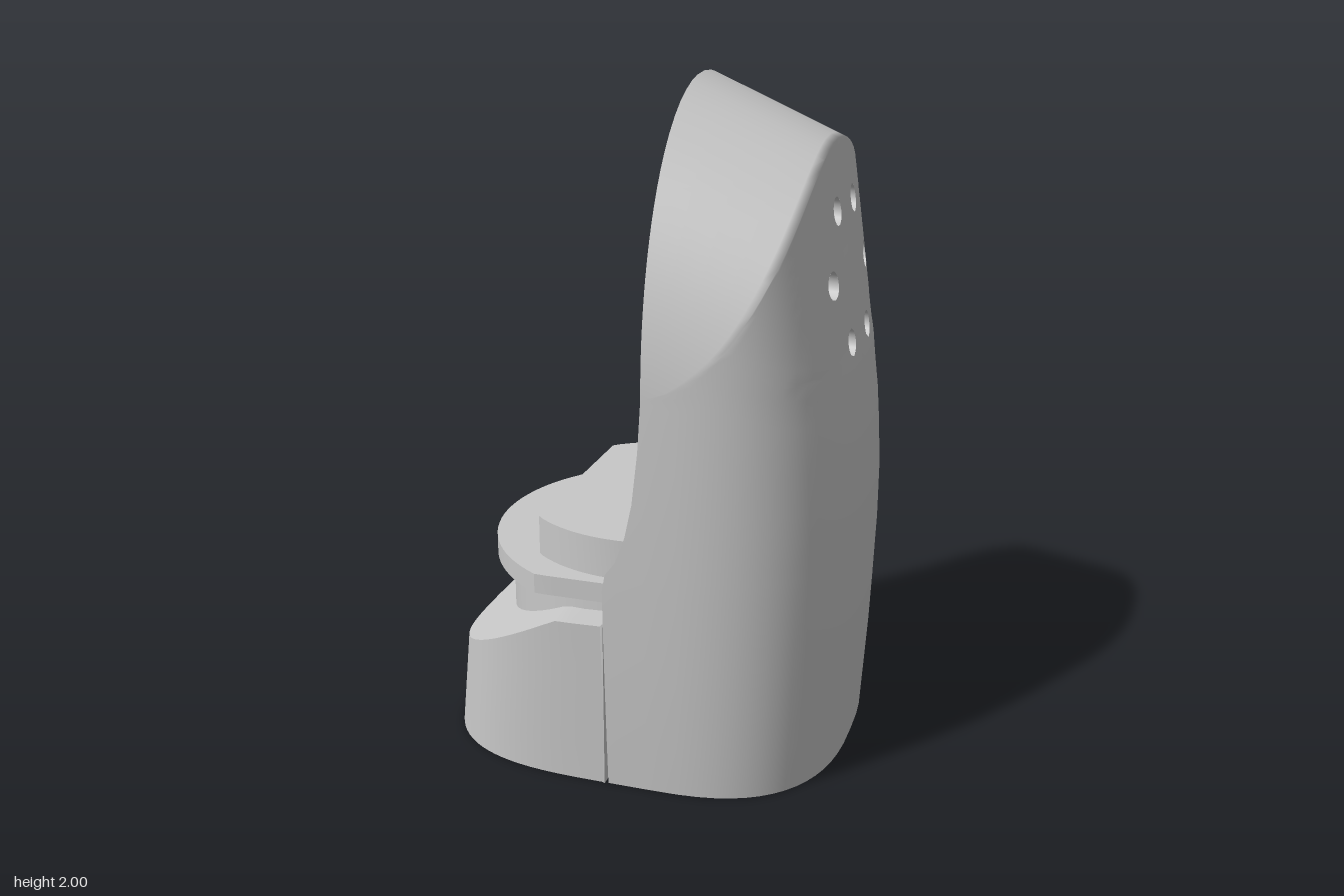
import * as THREE from 'three';
import { mergeGeometries, mergeVertices, toCreasedNormals } from 'three/addons/utils/BufferGeometryUtils.js';

const V = (x, y, z) => new THREE.Vector3(x, y, z);
const P2 = (x, y) => new THREE.Vector2(x, y);
const CZ = -0.015; // centre line of the turntable

// piecewise linear lookup
function lerpTable(table, v) {
  if (v <= table[0][0]) return table[0][1];
  for (let i = 1; i < table.length; i++) {
    const [a, p] = table[i - 1], [b, q] = table[i];
    if (v <= b) return p + (q - p) * (v - a) / (b - a);
  }
  return table[table.length - 1][1];
}

// surface through rows of points
function loft(rows) {
  const n = rows[0].length, index = [];
  for (let i = 0; i < rows.length - 1; i++) for (let j = 0; j < n - 1; j++) {
    const a = i * n + j, b = a + 1, c = a + n, d = c + 1;
    index.push(a, c, b, b, c, d);
  }
  const g = new THREE.BufferGeometry().setFromPoints(rows.flat());
  g.setIndex(index);
  return g;
}
const circle = (r, n = 20) => Array.from({ length: n + 1 }, (_, i) =>
  P2(r * Math.cos(i / n * Math.PI * 2), r * Math.sin(i / n * Math.PI * 2)));

// column rules: half width, depth, roof slope and front edge by level
const M = 2.75, W = 0.573;
const body = Y => Y > 1.2 ? W : W - 0.043 * ((1.2 - Y) / 1.2) ** 2;
const width = Y => Y > 1.2 ? W * Math.pow(Math.max(0, 1 - ((Y - 1.2) / 0.8) ** 2), 0.48) : body(Y);
const depth = Y => lerpTable([[0, 0.59], [0.3, 0.608], [0.6, 0.62], [0.8, 0.62], [1, 0.613], [1.2, 0.603], [1.4, 0.585], [2, 0.49]], Y);
const slope = Y => 0.436 * THREE.MathUtils.smoothstep(Y, 0.7, 1.5);
const frontX = Y => lerpTable([[0, -0.02], [0.63, -0.02], [0.68, -0.01], [0.72, 0.02], [0.8, 0.05], [0.9, 0.072], [1.05, 0.09], [1.2, 0.1]], Y);
const LEVELS = [0, 0.15, 0.3, 0.45, 0.63, 0.68, 0.72, 0.8, 0.9, 1.05, 1.2, 1.25, 1.3, 1.35];
for (let i = 0; i <= 12; i++) LEVELS.push(1.4 + 0.17 * i / 4);
LEVELS.push(1.94, 1.965, 1.985, 1.995, 2);
const LO = 14, HI = 26; // levels that bound the screw panels
const COLS = 32;
const angle = j => (j / COLS - 0.5) * Math.PI;

// point on the curved back; the roof runs forward from its side ends
function backPoint(a, Y) {
  const s = Math.sin(a), z = width(Y) * Math.sign(s) * Math.pow(Math.abs(s), 2 / M);
  const dx = (depth(Y) - 0.1) * Math.pow(Math.max(0, 1 - Math.pow(Math.abs(z) / body(Y), M)), 1 / M);
  return V(0.1 + dx, Y - slope(Y) * dx, z);
}
function roofPoint(side, Y, t) {
  const p = backPoint(side * Math.PI / 2, Y);
  return p.lerp(V(0.1, Y, p.z), t);
}
// angle and level of the back surface at a given height and z
function locate(y, z) {
  let Y = y + 0.2, a = 0;
  for (let i = 0; i < 20; i++) {
    const k = Math.min(1, Math.abs(z) / width(Y));
    a = Math.sign(z) * Math.asin(Math.pow(k, M / 2));
    Y = y + slope(Y) * (backPoint(a, Y).x - 0.1);
  }
  return [a, Y];
}
const SCREWS = Array.from({ length: 6 }, (_, i) => [1.46 + 0.213 * Math.sin(i * Math.PI / 3), 0.213 * Math.cos(i * Math.PI / 3)]);

// square panel of the back surface lofted round a screw hole
function screwPanel(y, z) {
  const [, Yc] = locate(y, z);
  const r = LO + 4 * Math.floor((Yc - 1.4) / 0.17), Ys = LEVELS.slice(r, r + 5);
  const js = Array.from({ length: 9 }, (_, i) => angle((z < 0 ? 8 : 16) + i));
  const edge = [
    ...js.slice(1).reverse().map(a => [a, Ys[0]]), ...Ys.slice(0, 4).map(Y => [js[0], Y]),
    ...js.slice(0, 8).map(a => [a, Ys[4]]), ...Ys.slice(1).reverse().map(Y => [js[8], Y]), [js[8], Ys[0]],
  ];
  const hole = edge.map(e => {
    const p = backPoint(...e), t = Math.atan2(p.y - y, p.z - z);
    return locate(y + 0.04 * Math.sin(t), z + 0.04 * Math.cos(t));
  });
  return loft([0, 0.25, 0.5, 0.75, 1].map(t => edge.map(([a, Y], i) =>
    backPoint(hole[i][0] + (a - hole[i][0]) * t, hole[i][1] + (Y - hole[i][1]) * t))));
}

function columnSkin() {
  const ROOF = [1, 0.75, 0.5, 0.25, 0.06];
  const full = Y => [
    V(frontX(Y), Y, -width(Y)), ...ROOF.map(t => roofPoint(-1, Y, t)),
    ...Array.from({ length: COLS + 1 }, (_, j) => backPoint(angle(j), Y)),
    ...ROOF.slice().reverse().map(t => roofPoint(1, Y, t)), V(frontX(Y), Y, width(Y))];
  const mid = LEVELS.slice(LO, HI + 1), edge = ROOF.length + 1 + 9;
  const skin = mergeGeometries([
    loft(LEVELS.slice(0, LO + 1).map(full)),
    loft(LEVELS.slice(HI).map(full)),
    loft(mid.map(Y => full(Y).slice(0, edge))),
    loft(mid.map(Y => full(Y).slice(-edge))),
    ...SCREWS.map(s => screwPanel(...s)),
  ]);
  return toCreasedNormals(mergeVertices(skin, 1e-3), 1.1);
}

// stepped screw hole running through the column
function screwHole(y, z) {
  const big = circle(0.04), small = circle(0.02);
  const outer = big.map(p => backPoint(...locate(y + p.y, z + p.x)));
  const x = backPoint(...locate(y, z)).x - 0.06;
  const ring = (pts, px) => pts.map(p => V(px, y + p.y, z + p.x));
  return toCreasedNormals(loft([outer, ring(big, x), ring(small, x), ring(small, 0.1)]), 0.7);
}

// base cup rules
const cupTop = x => lerpTable([[-0.59, 0.285], [-0.17, 0.51], [-0.03, 0.515]], x);
function cupBase(a) {
  const s = Math.sin(a), c = Math.max(0, Math.cos(a));
  return V(-0.03 - 0.595 * Math.pow(c < 1e-6 ? 0 : c, 2 / 3), 0, 0.53 * Math.sign(s) * Math.pow(Math.abs(s), 2 / 3));
}
function cupPoint(a, v) {
  const b = cupBase(a), lean = y => -0.03 + (b.x + 0.03) * (1 - 0.2 * y);
  const y = v * cupTop(lean(cupTop(b.x)));
  return V(lean(y), y, b.z * (1 + 0.09 * y));
}

// circle clipped by |z| and x limits, in plan
function clippedDisc(r, cx, xMin, zMax) {
  const half = circle(r, 96).map(p => P2(Math.max(xMin, cx + p.x), Math.min(zMax, p.y)))
    .filter(p => p.x < 0.0999 && p.y >= 0).sort((a, b) => b.x - a.x || b.y - a.y);
  const side = [P2(0.1, Math.min(zMax, Math.sqrt(r * r - (0.1 - cx) ** 2))), ...half];
  return new THREE.Shape([...side, ...side.slice().reverse().map(p => P2(p.x, -p.y))]);
}

export function createModel() {
  const group = new THREE.Group();
  const grey = new THREE.MeshStandardMaterial({ color: 0xc8c8c8, side: THREE.DoubleSide });
  grey.name = 'plain grey';
  const add = (name, geometry, x = 0, y = 0, z = 0) => {
    const mesh = new THREE.Mesh(geometry, grey);
    mesh.name = name;
    mesh.position.set(x, y, z);
    group.add(mesh);
    return mesh;
  };

  // column: skin, screw holes, flat mounting wall and side rims
  add('columnSkin', columnSkin());
  for (const s of SCREWS) add('screwHole', screwHole(...s));
  const up = LEVELS.filter(Y => Y >= 0.5);
  const wall = new THREE.Shape([...up.map(Y => P2(-width(Y), Y)), ...up.slice().reverse().map(Y => P2(width(Y), Y))]);
  for (const [y, z] of SCREWS) wall.holes.push(new THREE.Path(circle(0.02).map(p => P2(z + p.x, y + p.y))));
  add('mountingWall', new THREE.ShapeGeometry(wall), 0.1).rotation.y = -Math.PI / 2;
  for (const s of [-1, 1]) {
    const rows = LEVELS.filter(Y => Y <= 1.2).map(Y => [V(frontX(Y), Y, s * width(Y)),
      V(frontX(Y), Y, s * 0.51), V(0.1, Y, s * 0.51)]);
    add('columnRim', toCreasedNormals(loft(rows), 0.6));
  }

  // round mounting plate with alternating large and small holes
  const plate = new THREE.Shape(circle(0.265, 64));
  for (let i = 0; i < 12; i++) {
    const a = i * Math.PI / 6;
    plate.holes.push(new THREE.Path(circle(i % 2 ? 0.019 : 0.037)
      .map(p => P2(p.x + 0.213 * Math.cos(a), p.y + 0.213 * Math.sin(a)))));
  }
  add('mountingPlate', new THREE.ExtrudeGeometry(plate, { depth: 0.022, bevelEnabled: false }), 0.1, 1.46, 0)
    .rotation.y = -Math.PI / 2;

  // base cup: side, sloping top and end faces
  const cupAngles = Array.from({ length: 49 }, (_, i) => (i / 48 - 0.5) * Math.PI);
  add('cupSide', toCreasedNormals(loft([0, 0.25, 0.5, 0.75, 1].map(v => cupAngles.map(a => cupPoint(a, v)))), 0.6));
  const inner = a => {
    const b = cupBase(a), t = Math.atan2(b.z, -b.x);
    const x = Math.min(-0.03, -0.47 * Math.cos(t));
    return V(x, cupTop(x), CZ + 0.47 * Math.sin(t));
  };
  add('cupTop', toCreasedNormals(loft([cupAngles.map(a => cupPoint(a, 1)), cupAngles.map(inner)]), 0.6));
  for (const s of [-1, 1]) add('cupEnd', new THREE.BoxGeometry(0.004, 0.512, 0.08), -0.032, 0.256, s * 0.495);

  // undersides with a round opening; the column's has a slot beside each rim
  const openEdge = (x, sign) => {
    const t = Math.acos(x / 0.45);
    return Array.from({ length: 33 }, (_, i) => {
      const a = sign > 0 ? t - 2 * t * i / 32 : t + (2 * Math.PI - 2 * t) * i / 32;
      return P2(0.45 * Math.cos(a), CZ + 0.45 * Math.sin(a));
    });
  };
  const slot = s => [P2(-0.02, s * width(0)), P2(-0.02, s * 0.51), P2(0.1, s * 0.51), P2(0.1, CZ + s * 0.47), P2(-0.02, CZ + s * 0.47)];
  const columnFoot = [...slot(-1).reverse(), ...Array.from({ length: COLS + 1 }, (_, j) => backPoint(angle(j), 0))
    .map(p => P2(p.x, p.z)), ...slot(1), ...openEdge(-0.02, 1)];
  const cupFoot = [...cupAngles.map(cupBase).map(p => P2(p.x, p.z)), ...openEdge(-0.03, -1)];
  for (const [name, pts] of [['columnUnderside', columnFoot], ['cupUnderside', cupFoot]])
    add(name, new THREE.ShapeGeometry(new THREE.Shape(pts))).rotation.x = Math.PI / 2;

  // neck: inner bore, ceiling with holes, outer wall with a cable port facing -x
  const bore = new THREE.LatheGeometry([P2(0.45, 0), P2(0.45, 0.03), P2(0.41, 0.03), P2(0.41, 0.36)], 64);
  add('neckBore', toCreasedNormals(bore, 0.6), 0, 0, CZ);
  const ceiling = new THREE.Shape(circle(0.41, 64));
  for (let i = 0; i < 12; i++) {
    const a = i * Math.PI / 6;
    ceiling.holes.push(new THREE.Path(circle(0.018, 12).map(p => P2(p.x + 0.35 * Math.cos(a), p.y + 0.35 * Math.sin(a)))));
  }
  add('neckCeiling', new THREE.ShapeGeometry(ceiling), 0, 0.36, CZ).rotation.x = Math.PI / 2;
  const neck = new THREE.LatheGeometry([P2(0.49, 0), P2(0.49, 0.54)], 64, -Math.PI / 2 + 0.1, Math.PI * 2 - 0.2);
  const pos = neck.attributes.position;
  for (let i = 0; i < pos.count; i++) pos.setZ(i, THREE.MathUtils.clamp(pos.getZ(i), -0.47, 0.47));
  add('neckWall', neck, 0, 0, CZ);
  const port = new THREE.Shape([P2(-0.049, 0.25), P2(0.049, 0.25), P2(0.049, 0.54), P2(-0.049, 0.54)]);
  port.holes.push(new THREE.Path(circle(0.042).map(p => P2(p.x, p.y + 0.44))));
  add('cablePort', new THREE.ExtrudeGeometry(port, { depth: 0.06, bevelEnabled: false }), -0.4276, 0, CZ)
    .rotation.y = -Math.PI / 2;

  // turntable disc and raised block
  for (const [name, shape, y, h] of [
    ['turntable', clippedDisc(0.54, 0, -1, 0.47), 0.54, 0.06],
    ['raisedBlock', clippedDisc(0.43, -0.03, -0.31, 1), 0.6, 0.12],
  ]) {
    const g = new THREE.ExtrudeGeometry(shape, { depth: h, bevelEnabled: false });
    add(name, toCreasedNormals(g, 0.4), 0, y + h, CZ).rotation.x = Math.PI / 2;
  }
  return group;
}
